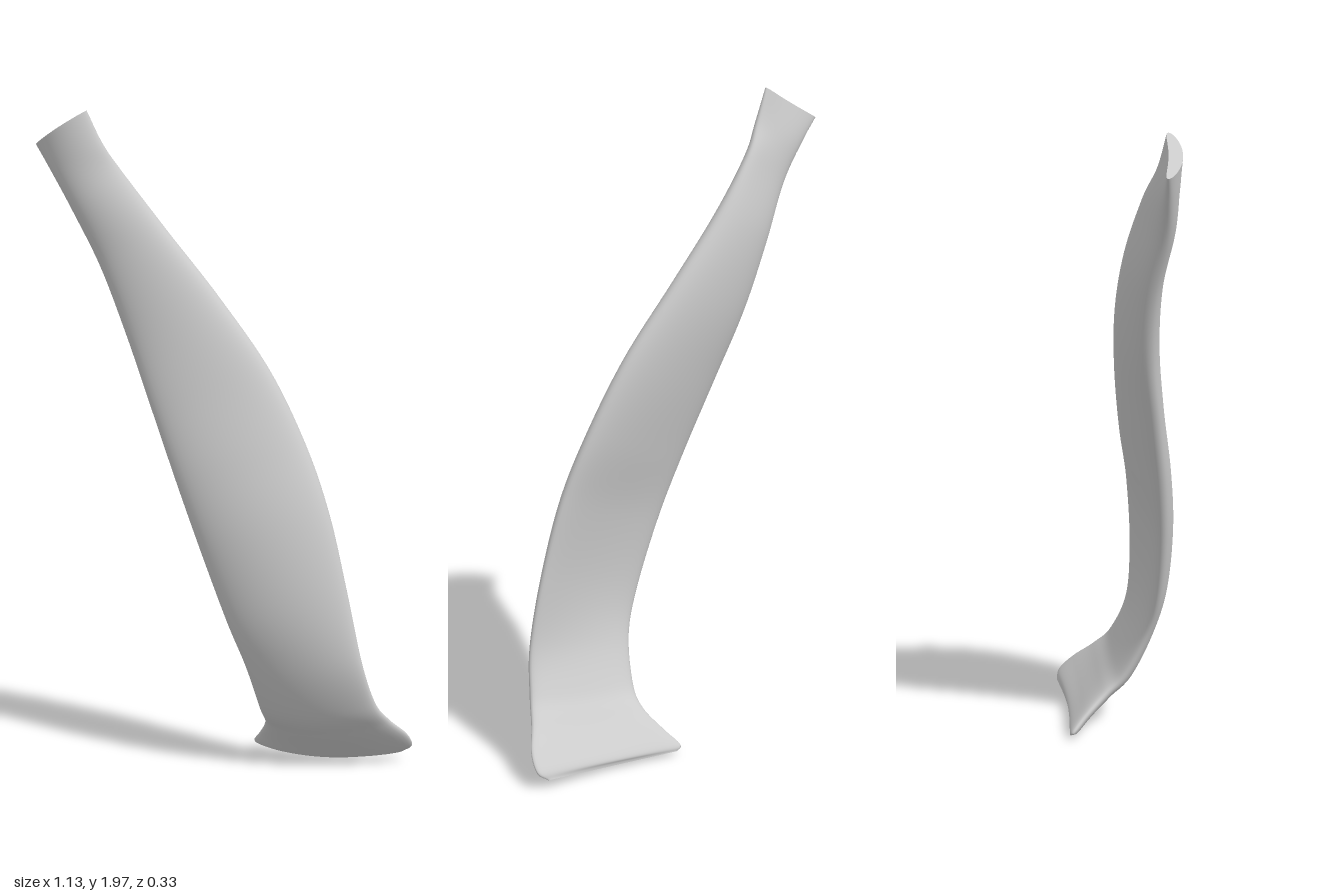
import * as THREE from 'three';

// Cross-sections from top to bottom:
// left edge x, y, z | right edge x, y, z | forward bow, half thickness
const SECTIONS = [
  [-0.565, 1.90, 0.07, -0.395, 2.00, 0.09, 0.02, 0.02],
  [-0.52, 1.83, 0.075, -0.35, 1.90, 0.075, 0.012, 0.03],
  [-0.45, 1.71, 0.075, -0.295, 1.81, 0.045, 0.01, 0.04],
  [-0.37, 1.54, 0.05, -0.17, 1.645, 0.02, 0, 0.05],
  [-0.29, 1.34, 0.05, -0.01, 1.45, 0.01, 0, 0.055],
  [-0.2, 1.12, 0.08, 0.15, 1.24, 0.02, 0, 0.055],
  [-0.11, 0.9, 0.11, 0.27, 1.02, 0.04, 0.01, 0.055],
  [-0.03, 0.7, 0.125, 0.35, 0.82, 0.065, 0.02, 0.048],
  [0.05, 0.49, 0.12, 0.41, 0.59, 0.08, 0.02, 0.04],
  [0.1, 0.35, 0.09, 0.455, 0.38, 0.075, 0.01, 0.035],
  [0.125, 0.21, 0.025, 0.485, 0.245, 0.025, 0.012, 0.037],
  [0.125, 0.15, -0.035, 0.515, 0.18, -0.035, 0.02, 0.034],
  [0.09, 0.095, -0.1, 0.553, 0.125, -0.1, 0.028, 0.03],
  [0.058, 0.055, -0.143, 0.56, 0.08, -0.147, 0.03, 0.026],
  [0.075, 0.04, -0.152, 0.53, 0.055, -0.16, 0.03, 0.014],
];
const ROWS = 112, SIDES = 48;

const curveOf = (pick) => new THREE.CatmullRomCurve3(
  SECTIONS.map((s) => new THREE.Vector3(...pick(s))), false, 'catmullrom', 0.5);

// One closed loop of points per row, its thickness square to the strap
function buildLoops() {
  const left = curveOf((s) => s.slice(0, 3));
  const right = curveOf((s) => s.slice(3, 6));
  const shape = curveOf((s) => [s[6], s[7], 0]);
  const middle = (t) => left.getPoint(t).lerp(right.getPoint(t), 0.5);
  const loops = [];
  for (let i = 0; i <= ROWS; i++) {
    const t = i / ROWS;
    const l = left.getPoint(t), r = right.getPoint(t), s = shape.getPoint(t);
    const run = middle(Math.min(1, t + 0.01)).sub(middle(Math.max(0, t - 0.01)));
    const normal = new THREE.Vector3(0, run.z, -run.y).normalize();
    const loop = [];
    for (let j = 0; j < SIDES; j++) {
      const a = (j / SIDES) * Math.PI * 2;
      const u = Math.cos(a);
      const v = Math.sign(Math.sin(a)) * Math.pow(Math.abs(Math.sin(a)), 0.9);
      loop.push(l.clone().lerp(r, (u + 1) / 2)
        .addScaledVector(normal, s.x * (1 - u * u) + s.y * v));
    }
    loops.push(loop);
  }
  return loops;
}

function geometryFrom(points, index) {
  const g = new THREE.BufferGeometry().setFromPoints(points);
  g.setIndex(index);
  g.computeVertexNormals();
  return g;
}

// Smooth skin between the loops
function skin(loops) {
  const index = [];
  for (let i = 0; i < ROWS; i++) {
    for (let j = 0; j < SIDES; j++) {
      const k = (j + 1) % SIDES;
      const a = i * SIDES + j, b = i * SIDES + k;
      index.push(a, a + SIDES, b, b, a + SIDES, b + SIDES);
    }
  }
  return geometryFrom(loops.flat(), index);
}

// End cap: strips joining the front half of a loop to its back half
function cap(loop, flip) {
  const index = [];
  const tri = (a, b, c) => index.push(a, flip ? c : b, flip ? b : c);
  for (let j = 0; j < SIDES / 2; j++) {
    const m = (SIDES - j) % SIDES, n = SIDES - j - 1;
    if (j > 0) tri(j, j + 1, m);
    if (j < SIDES / 2 - 1) tri(j + 1, n, m);
  }
  return geometryFrom(loop, index);
}

export function createModel() {
  const group = new THREE.Group();
  group.name = 'curvedStrap';
  const material = new THREE.MeshStandardMaterial({ color: 0xcccccc, side: THREE.DoubleSide });
  const add = (name, geometry) => {
    const mesh = new THREE.Mesh(geometry, material);
    mesh.name = name;
    group.add(mesh);
  };
  const loops = buildLoops();
  add('strapBody', skin(loops));
  add('topCutEnd', cap(loops[0], true));
  add('flaredFootEnd', cap(loops[ROWS], false));

  // Stand on the ground, centred
  const box = new THREE.Box3().setFromObject(group);
  const c = box.getCenter(new THREE.Vector3());
  group.children.forEach((m) => m.geometry.translate(-c.x, -box.min.y, -c.z));
  return group;
}
